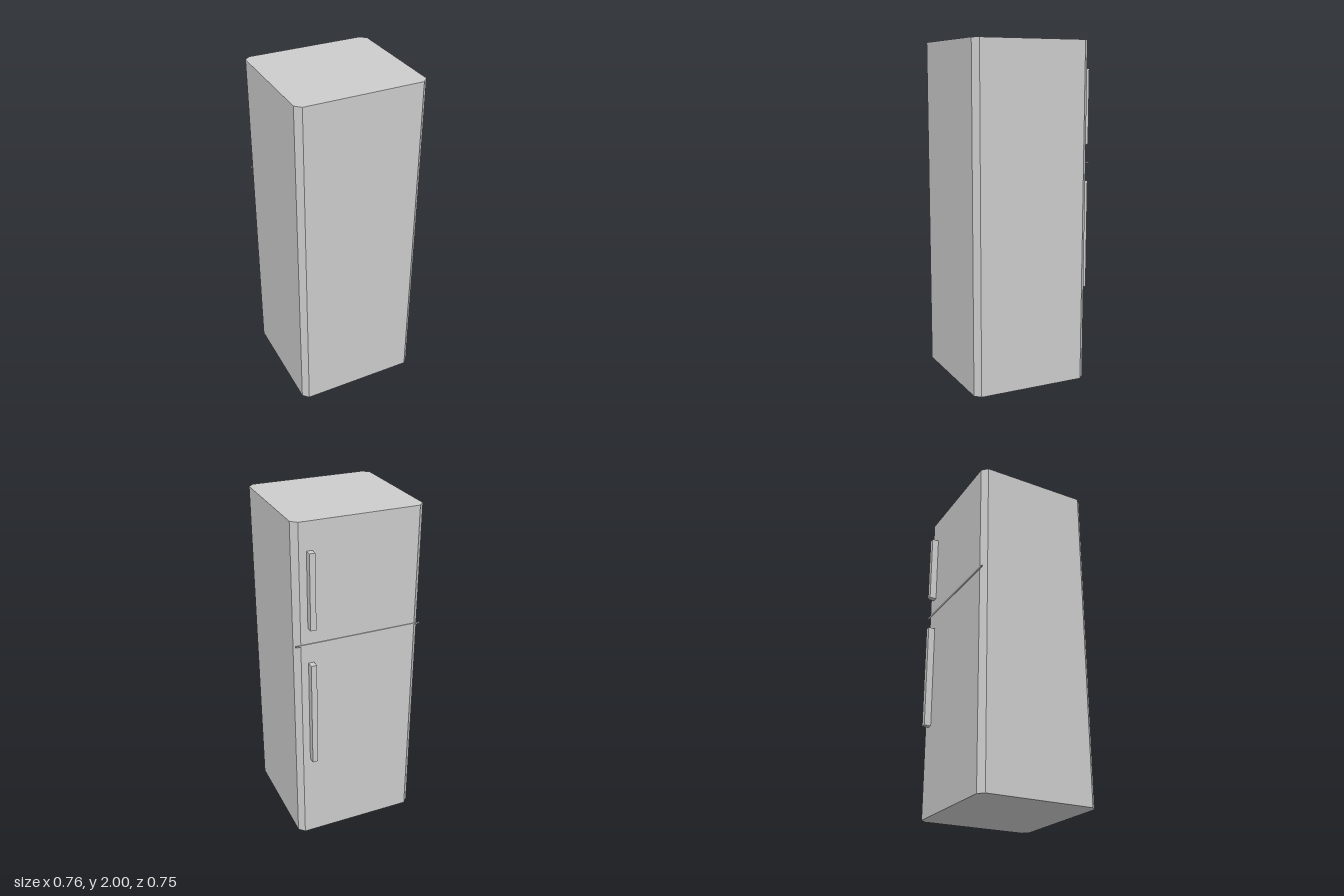
import * as THREE from 'three';

export function createModel() {
  const model = new THREE.Group();
  model.name = 'refrigerator';
  const enamel = new THREE.MeshStandardMaterial({ color: 0xcccccc });
  enamel.name = 'light grey enamel';

  const add = (name, geometry, x = 0, y = 0, z = 0) => {
    const mesh = new THREE.Mesh(geometry, enamel);
    mesh.name = name;
    mesh.position.set(x, y, z);
    model.add(mesh);
  };

  // Cabinet: square plan with chamfered upright corners
  const w = 0.378, d = 0.357, c = 0.033;
  const plan = new THREE.Shape([
    [w, -d + c], [w, d - c], [w - c, d], [-w + c, d],
    [-w, d - c], [-w, -d + c], [-w + c, -d], [w - c, -d],
  ].map(([x, y]) => new THREE.Vector2(x, y)));
  const cabinet = new THREE.ExtrudeGeometry(plan, { depth: 2, bevelEnabled: false });
  cabinet.rotateX(-Math.PI / 2);
  add('cabinet', cabinet, 0, 0, 0.02);

  // Thin strip between the two doors, running past the chamfers
  add('doorDivider', new THREE.BoxGeometry(2 * w, 0.008, 0.006), 0, 1.305, -0.339);

  // Upright bar handles on the door side
  for (const [name, bottom, top] of [['freezerHandle', 1.405, 1.842], ['fridgeHandle', 0.545, 1.19]]) {
    add(name, new THREE.BoxGeometry(0.033, top - bottom, 0.041), 0.286, (top + bottom) / 2, -0.3575);
  }
  return model;
}
